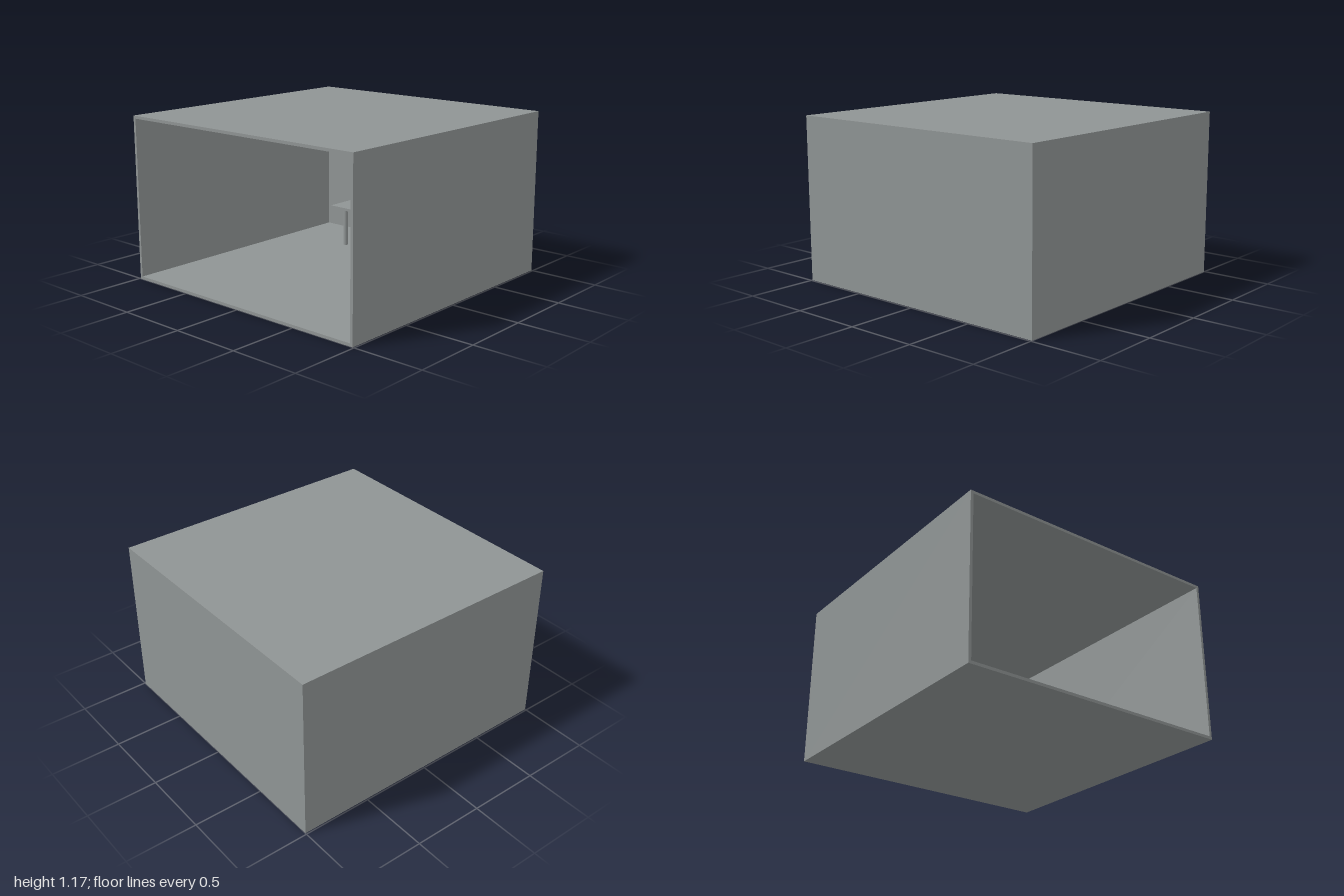
import * as THREE from 'three';

const wallGrey = new THREE.MeshStandardMaterial({ color: 0x8f9494 });
const paleGrey = new THREE.MeshStandardMaterial({ color: 0xcccccc });
const screenGrey = new THREE.MeshStandardMaterial({ color: 0xbcbcbc });
const red = new THREE.MeshStandardMaterial({ color: 0xcc5560 });

function add(parent, name, geometry, material, x = 0, y = 0, z = 0) {
  const mesh = new THREE.Mesh(geometry, material);
  mesh.name = name;
  mesh.position.set(x, y, z);
  parent.add(mesh);
  return mesh;
}

// Box given by its limits on each axis
function box(parent, name, material, [x0, x1], [y0, y1], [z0, z1]) {
  return add(parent, name, new THREE.BoxGeometry(x1 - x0, y1 - y0, z1 - z0), material,
    (x0 + x1) / 2, (y0 + y1) / 2, (z0 + z1) / 2);
}

// Rectangular frame around an opening, extruded along z
function frame(parent, name, material, [x0, x1], [y0, y1], border, [z0, z1]) {
  const rect = (p, b) => p.moveTo(x0 + b, y0 + b).lineTo(x1 - b, y0 + b)
    .lineTo(x1 - b, y1 - b).lineTo(x0 + b, y1 - b).closePath();
  const shape = new THREE.Shape();
  rect(shape, 0);
  const hole = new THREE.Path();
  rect(hole, border);
  shape.holes.push(hole);
  const geometry = new THREE.ExtrudeGeometry(shape, { depth: z1 - z0, bevelEnabled: false });
  return add(parent, name, geometry, material, 0, 0, z0);
}

function group(parent, name) {
  const g = new THREE.Group();
  g.name = name;
  parent.add(g);
  return g;
}

export function createModel() {
  const model = new THREE.Group();
  model.name = 'officeRoom';

  // Room shell, open at the front
  const room = group(model, 'room');
  frame(room, 'wallsFloorCeiling', wallGrey, [-0.99, 0.99], [0, 1.17], 0.02, [-0.98, 1]);
  box(room, 'backWall', wallGrey, [-0.99, 0.99], [0, 1.17], [-1, -0.98]);

  // Desk with four round legs
  const desk = group(model, 'desk');
  box(desk, 'deskTop', wallGrey, [-0.5, 0.5], [0.32, 0.34], [-0.96, -0.48]);
  for (const x of [-0.427, 0.427]) {
    for (const z of [-0.57, -0.87]) {
      add(desk, 'deskLeg', new THREE.CylinderGeometry(0.017, 0.017, 0.3, 16), wallGrey, x, 0.17, z);
    }
  }

  // Computer case with a drive panel on its front
  const computer = group(model, 'computer');
  box(computer, 'computerCase', wallGrey, [-0.155, 0.148], [0.34, 0.41], [-0.9, -0.62]);
  frame(computer, 'drivePanel', wallGrey, [0.013, 0.135], [0.345, 0.405], 0.006, [-0.62, -0.614]);

  // Small mouse in front of the case
  box(model, 'mouse', wallGrey, [-0.105, -0.042], [0.34, 0.356], [-0.58, -0.51]);

  // Monitor: swivel foot, chin, bezel, screen and tapered tube housing
  const monitor = group(model, 'monitor');
  add(monitor, 'swivelFoot', new THREE.CylinderGeometry(0.05, 0.062, 0.014, 24), paleGrey, 0, 0.416, -0.75);
  box(monitor, 'chin', paleGrey, [-0.107, 0.107], [0.422, 0.447], [-0.83, -0.64]);
  frame(monitor, 'bezel', paleGrey, [-0.119, 0.119], [0.446, 0.61], 0.02, [-0.68, -0.62]);
  frame(monitor, 'innerBezel', paleGrey, [-0.1, 0.1], [0.465, 0.591], 0.012, [-0.68, -0.628]);
  box(monitor, 'screen', screenGrey, [-0.09, 0.09], [0.475, 0.582], [-0.68, -0.636]);

  const housing = new THREE.BoxGeometry(0.23, 0.156, 0.21);
  const p = housing.attributes.position;
  for (let i = 0; i < p.count; i++) {
    if (p.getZ(i) < 0) p.setXY(i, p.getX(i) * 0.68, p.getY(i) * 0.72 - 0.012);
  }
  housing.computeVertexNormals();
  add(monitor, 'tubeHousing', housing, paleGrey, 0, 0.528, -0.785);

  for (const x of [-0.095, -0.082, -0.068]) {
    box(monitor, 'button', x === -0.068 ? red : paleGrey,
      [x - 0.004, x + 0.004], [0.428, 0.436], [-0.64, -0.635]);
  }

  // Red books: one lying flat, two standing
  const books = group(model, 'books');
  box(books, 'flatBook', red, [0.253, 0.294], [0.34, 0.366], [-0.74, -0.62]);
  box(books, 'standingBook', red, [0.295, 0.323], [0.34, 0.39], [-0.76, -0.64]);
  box(books, 'standingBook', red, [0.327, 0.36], [0.34, 0.39], [-0.76, -0.64]);

  return model;
}
